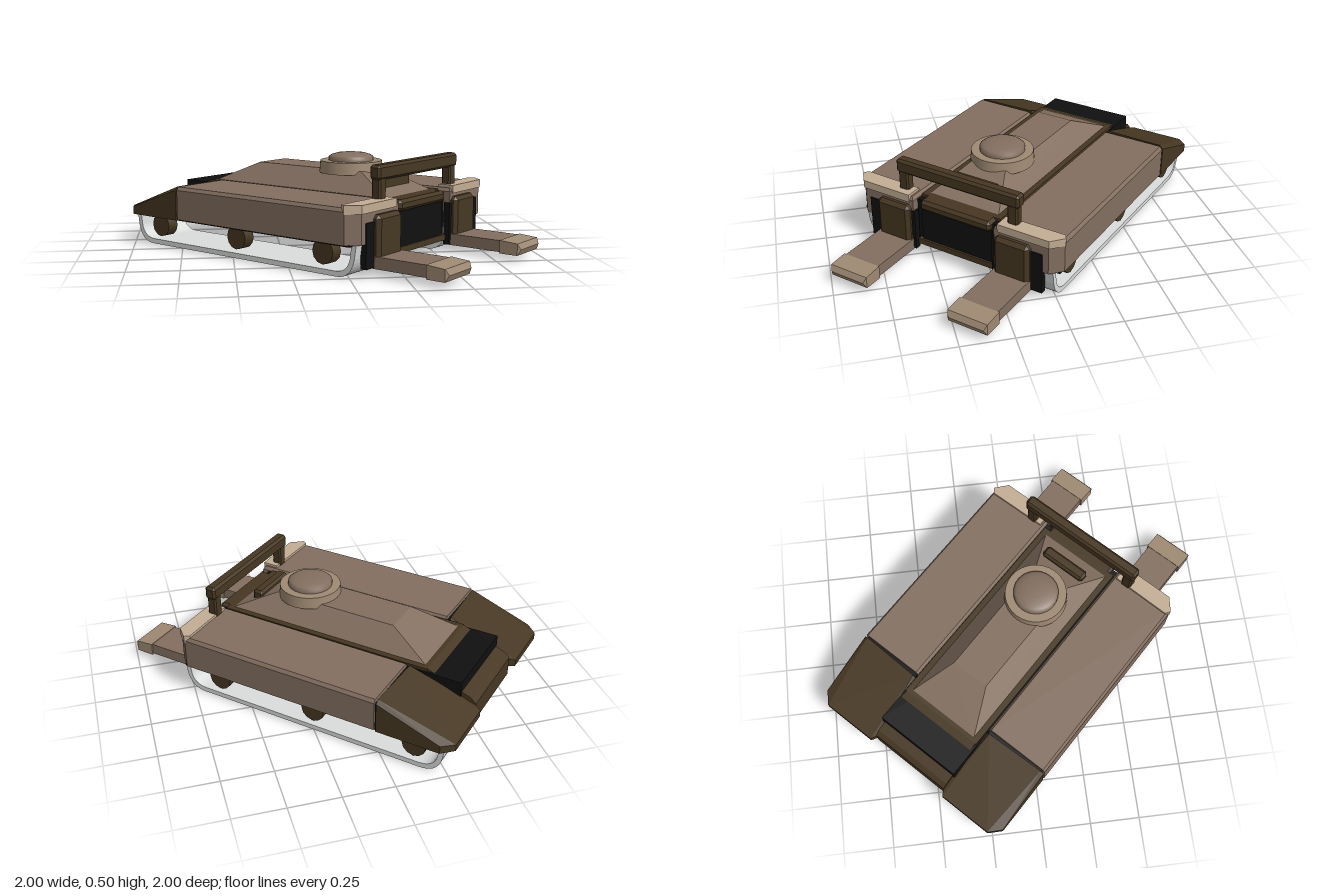
import * as THREE from 'three';
import { ConvexGeometry } from 'three/addons/geometries/ConvexGeometry.js';

const paint = (name, color) => {
  const m = new THREE.MeshStandardMaterial({ color });
  m.name = name;
  return m;
};

export function createModel() {
  const tan = paint('tan', 0x836f60);
  const paleTan = paint('paleTan', 0xc4ae94);
  const midTan = paint('midTan', 0x9f8a73);
  const brown = paint('darkBrown', 0x463722);
  const black = paint('black', 0x101010);
  const trackGrey = paint('trackGrey', 0xdadddb);

  const model = new THREE.Group();
  model.name = 'trackedVehicle';
  // Everything is built facing +z, then turned to point along the diagonal
  const body = new THREE.Group();
  body.name = 'body';
  body.rotation.y = Math.PI / 4;
  model.add(body);

  const add = (name, geo, mat) => {
    const mesh = new THREE.Mesh(geo, mat);
    mesh.name = name;
    body.add(mesh);
    return mesh;
  };
  const hull = (name, pts, mat) =>
    add(name, new ConvexGeometry(pts.map((p) => new THREE.Vector3(...p))), mat);
  // Box given by its limits, with small chamfers c on all edges
  const block = (name, x0, x1, y0, y1, z0, z1, mat, c = 0) => {
    if (!c) {
      const g = new THREE.BoxGeometry(x1 - x0, y1 - y0, z1 - z0);
      g.translate((x0 + x1) / 2, (y0 + y1) / 2, (z0 + z1) / 2);
      return add(name, g, mat);
    }
    const pts = [];
    for (const i of [0, 1]) for (const j of [0, 1]) for (const k of [0, 1]) {
      const x = i ? x1 : x0, y = j ? y1 : y0, z = k ? z1 : z0;
      const dx = i ? -c : c, dy = j ? -c : c, dz = k ? -c : c;
      pts.push([x, y + dy, z + dz], [x + dx, y, z + dz], [x + dx, y + dy, z]);
    }
    return hull(name, pts, mat);
  };
  // Side profile of [z, y] points swept across the width x0..x1
  const profile = (name, shape, x0, x1, mat) => {
    const g = new THREE.ExtrudeGeometry(shape, { depth: x1 - x0, bevelEnabled: false, curveSegments: 8 });
    g.rotateY(-Math.PI / 2);
    g.translate(x1, 0, 0);
    return add(name, g, mat);
  };

  // Central hull with sloping tail
  block('belly', -0.23, 0.23, 0.07, 0.3, -0.8, 0.55, black);
  block('bellyPlate', -0.22, 0.22, 0.06, 0.07, -0.78, 0.5, brown);
  block('centreDeck', -0.225, 0.225, 0.28, 0.315, -0.62, 0.52, brown);
  const tail = new THREE.Shape([[-0.58, 0.315], [-0.62, 0.315], [-0.85, 0.225], [-0.875, 0.2],
    [-0.875, 0.1], [-0.84, 0.06], [-0.58, 0.08]].map((p) => new THREE.Vector2(...p)));
  profile('centreTail', tail, -0.22, 0.22, brown);
  block('frontLip', -0.2, 0.2, 0.26, 0.315, 0.5, 0.58, brown, 0.015);
  block('frontRecess', -0.2, 0.2, 0.09, 0.26, 0.5, 0.56, black);
  block('frontSill', -0.22, 0.22, 0.06, 0.09, 0.5, 0.57, brown);

  // Raised superstructure
  const deck = [];
  for (const s of [1, -1]) {
    deck.push([s * 0.2, 0.31, -0.61], [s * 0.2, 0.31, 0.5], [s * 0.1, 0.415, -0.38], [s * 0.1, 0.415, 0.28]);
  }
  hull('superstructure', deck, tan);
  block('visionBlock', -0.125, 0.125, 0.3, 0.4, 0.36, 0.42, brown, 0.012);

  // Round hatch: stepped ring and shallow dome
  const ring = add('hatchRing', new THREE.CylinderGeometry(0.155, 0.16, 0.06, 32), midTan);
  ring.position.set(0, 0.425, 0.145);
  const domePoints = [[0.113, 0], [0.113, 0.02], [0.1, 0.029], [0.075, 0.037], [0.04, 0.041], [0, 0.042]]
    .map((p) => new THREE.Vector2(...p));
  const dome = add('hatchDome', new THREE.LatheGeometry(domePoints, 32), tan);
  dome.position.set(0, 0.453, 0.145);

  for (const s of [1, -1]) {
    const side = s > 0 ? 'left' : 'right';
    const at = (a, b) => (s > 0 ? [a, b] : [-b, -a]);

    // Track guard: chamfered outer front corner and top edge
    const guard = [];
    for (const [y, c] of [[0.155, 0], [0.305, 0], [0.322, 0.012]]) {
      guard.push([s * (0.23 + c), y, -0.52], [s * (0.573 - c), y, -0.52],
        [s * (0.573 - c), y, 0.53], [s * (0.52 - c), y, 0.587 - c], [s * (0.23 + c), y, 0.587 - c]);
    }
    hull(side + 'TrackGuard', guard, tan);
    block(side + 'GuardSeam', ...at(0.235, 0.56), 0.16, 0.3, -0.545, -0.515, black);
    block(side + 'GuardUnderside', ...at(0.2, 0.56), 0.148, 0.158, -0.8, 0.55, black);

    // Sloping rear guard
    hull(side + 'RearGuard', [
      [s * 0.23, 0.15, -0.54], [s * 0.573, 0.15, -0.53], [s * 0.573, 0.305, -0.53], [s * 0.555, 0.322, -0.53],
      [s * 0.245, 0.322, -0.54], [s * 0.23, 0.305, -0.54],
      [s * 0.573, 0.15, -0.85], [s * 0.573, 0.19, -0.85], [s * 0.52, 0.15, -0.905], [s * 0.52, 0.185, -0.905],
      [s * 0.235, 0.15, -0.905], [s * 0.235, 0.185, -0.905], [s * 0.215, 0.15, -0.87], [s * 0.215, 0.195, -0.87],
    ], brown);

    // Pale pad on the guard's front edge
    const pad = [];
    for (const y of [0.295, 0.335]) {
      pad.push([s * 0.25, y, 0.51], [s * 0.56, y, 0.505], [s * 0.577, y, 0.53],
        [s * 0.525, y, 0.592], [s * 0.25, y, 0.592]);
    }
    hull(side + 'FrontPad', pad, paleTan);

    // Track: thin U-shaped band
    const u = new THREE.Shape();
    u.moveTo(-0.86, 0.16);
    u.lineTo(-0.85, 0.09);
    u.quadraticCurveTo(-0.83, 0, -0.74, 0);
    u.lineTo(0.46, 0);
    u.quadraticCurveTo(0.54, 0, 0.56, 0.09);
    u.lineTo(0.57, 0.16);
    u.lineTo(0.545, 0.16);
    u.lineTo(0.535, 0.09);
    u.quadraticCurveTo(0.52, 0.025, 0.45, 0.025);
    u.lineTo(-0.73, 0.025);
    u.quadraticCurveTo(-0.81, 0.025, -0.825, 0.09);
    u.lineTo(-0.835, 0.16);
    profile(side + 'Track', u, ...at(0.235, 0.535), trackGrey);

    // Road wheels
    for (const z of [-0.7, -0.165, 0.37]) {
      const g = new THREE.CylinderGeometry(0.06, 0.06, 0.06, 12);
      g.rotateZ(Math.PI / 2);
      add(side + 'Wheel', g, brown).position.set(s * 0.49, 0.1, z);
    }

    // Front bracket with its black backing, and the fork it carries
    block(side + 'BracketBacking', ...at(0.22, 0.49), 0.04, 0.25, 0.56, 0.592, black);
    block(side + 'ForkBracket', ...at(0.24, 0.43), 0.05, 0.28, 0.5, 0.62, brown, 0.018);
    block(side + 'Fork', ...at(0.235, 0.43), 0.035, 0.092, 0.55, 0.89, tan);
    const tip = [];
    for (const x of [0.228, 0.438]) {
      tip.push([s * x, 0.03, 0.87], [s * x, 0.095, 0.87], [s * x, 0.03, 0.965],
        [s * x, 0.088, 0.965], [s * (x < 0.3 ? x + 0.012 : x - 0.012), 0.06, 0.98]);
    }
    hull(side + 'ForkTip', tip, midTan);

    // Guard bar post
    block(side + 'BarPost', ...at(0.28, 0.335), 0.28, 0.46, 0.505, 0.555, brown, 0.008);
  }
  block('guardBar', -0.345, 0.345, 0.42, 0.49, 0.5, 0.56, brown, 0.012);

  return model;
}
